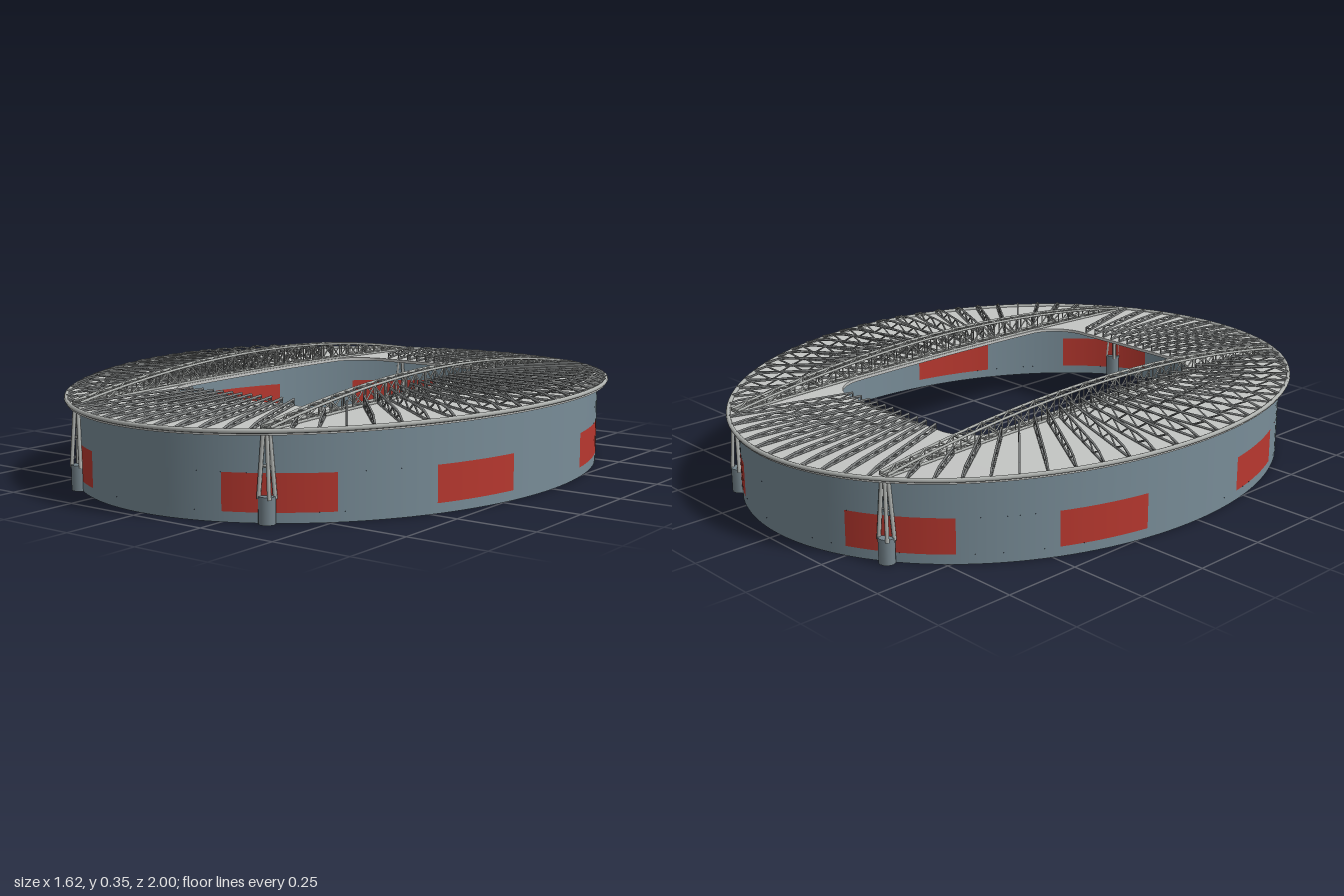
import * as THREE from 'three';
import { mergeGeometries, toCreasedNormals } from 'three/addons/utils/BufferGeometryUtils.js';

const WALL_X = 0.775, WALL_Z = 0.965;   // facade ellipse
const ROOF_X = 0.803, ROOF_Z = 0.993;   // roof ellipse
const HOLE_X = 0.345, HOLE_Z = 0.525, HOLE_R = 0.13;
const TRUSS_X = 0.365, TRUSS_Z = 0.86;
const rad = THREE.MathUtils.degToRad;
const V = (x, y, z) => new THREE.Vector3(x, y, z);
const UP = V(0, 1, 0);

// The roof sags gently towards both ends
const roofY = z => 0.274 - 0.02 * (z / ROOF_Z) ** 2;

const mat = (name, color, opts = {}) => {
  const m = new THREE.MeshStandardMaterial({ color, ...opts });
  m.name = name;
  return m;
};

// Straight round or square member between two points
function bar(a, b, r, sides = 4) {
  const d = b.clone().sub(a);
  const g = new THREE.CylinderGeometry(r, r, d.length(), sides);
  g.applyQuaternion(new THREE.Quaternion().setFromUnitVectors(UP, d.normalize()));
  const c = a.clone().add(b).multiplyScalar(0.5);
  return g.translate(c.x, c.y, c.z);
}

// Strip of the elliptical facade; the top may follow the roof
function wallStrip(t0, t1, y0, y1) {
  const n = Math.max(2, Math.ceil((t1 - t0) / 2.5)), pos = [], nor = [], idx = [];
  for (let i = 0; i <= n; i++) {
    const t = rad(t0 + (t1 - t0) * i / n);
    const x = WALL_X * Math.sin(t), z = WALL_Z * Math.cos(t);
    const nv = V(Math.sin(t) / WALL_X, 0, Math.cos(t) / WALL_Z).normalize();
    pos.push(x, y0, z, x, y1 ?? roofY(z) - 0.008, z);
    nor.push(...nv, ...nv);
    if (i < n) { const a = 2 * i; idx.push(a, a + 2, a + 1, a + 1, a + 2, a + 3); }
  }
  const g = new THREE.BufferGeometry();
  g.setAttribute('position', new THREE.Float32BufferAttribute(pos, 3));
  g.setAttribute('normal', new THREE.Float32BufferAttribute(nor, 3));
  g.setIndex(idx);
  return g;
}

// Distance along a direction from the centre to the rounded opening
function holeDistance(dx, dz) {
  let lo = 0, hi = 1;
  for (let i = 0; i < 30; i++) {
    const m = (lo + hi) / 2;
    const qx = Math.abs(dx * m) - HOLE_X + HOLE_R, qz = Math.abs(dz * m) - HOLE_Z + HOLE_R;
    const d = Math.hypot(Math.max(qx, 0), Math.max(qz, 0)) + Math.min(Math.max(qx, qz), 0) - HOLE_R;
    if (d < 0) lo = m; else hi = m;
  }
  return lo;
}

// Thin curved roof plate, lofted from the opening to the outer ellipse
function roofGeometry() {
  const N = 180, M = 6, P = 2 * (M + 1), pos = [], idx = [];
  for (let i = 0; i < N; i++) {
    const t = i / N * Math.PI * 2;
    const ox = ROOF_X * Math.sin(t), oz = ROOF_Z * Math.cos(t), len = Math.hypot(ox, oz);
    const k = holeDistance(ox / len, oz / len) / len;
    for (let j = 0; j < P; j++) {
      const top = j <= M, s = (top ? j : P - 1 - j) / M, f = k + (1 - k) * s;
      pos.push(ox * f, roofY(oz * f) - (top ? 0 : 0.01), oz * f);
      const a = i * P + j, b = i * P + (j + 1) % P;
      const c = ((i + 1) % N) * P + j, d = ((i + 1) % N) * P + (j + 1) % P;
      idx.push(a, b, c, c, b, d);
    }
  }
  const g = new THREE.BufferGeometry();
  g.setAttribute('position', new THREE.Float32BufferAttribute(pos, 3));
  g.setIndex(idx);
  return toCreasedNormals(g, 0.6);
}

// Flat lattice rib lying on the roof from the rim (a) to its inner end (b)
function rib(a, b, height) {
  const n = Math.max(3, Math.round(a.distanceTo(b) / 0.045)), parts = [];
  const low = [], high = [];
  for (let i = 0; i <= n; i++) {
    const s = i / n, p = a.clone().lerp(b, s);
    const h = height * (s < 0.15 ? 0.15 + 0.55 * s / 0.15 : 0.7 + 0.3 * (s - 0.15) / 0.85);
    const y = roofY(p.z);
    low.push(V(p.x, y + 0.003, p.z));
    high.push(V(p.x, y + 0.003 + h, p.z));
  }
  for (let i = 0; i < n; i++) {
    parts.push(bar(low[i], low[i + 1], 0.004), bar(high[i], high[i + 1], 0.004));
    parts.push(i % 2 ? bar(high[i], low[i + 1], 0.003) : bar(low[i], high[i + 1], 0.003));
  }
  parts.push(bar(low[n], high[n], 0.003));
  return parts;
}

// Arched box truss along z
function mainTruss() {
  const n = 32, w = 0.016, parts = [];
  const at = (i, sx, top) => {
    const z = -TRUSS_Z + 2 * TRUSS_Z * i / n;
    const y = top ? 0.268 + 0.073 * (1 - (z / TRUSS_Z) ** 2) : roofY(z) + 0.003;
    return V(sx * w, y, z);
  };
  for (let i = 0; i <= n; i++) {
    for (const top of [false, true]) parts.push(bar(at(i, -1, top), at(i, 1, top), 0.003));
    for (const s of [-1, 1]) {
      parts.push(bar(at(i, s, false), at(i, s, true), 0.003));
      if (i === n) continue;
      for (const top of [false, true]) parts.push(bar(at(i, s, top), at(i + 1, s, top), 0.0045, 6));
      parts.push(bar(at(i, s, i % 2 === 1), at(i + 1, s, i % 2 === 0), 0.003));
    }
    if (i < n) for (const top of [false, true]) {
      const s = i % 2 ? 1 : -1;
      parts.push(bar(at(i, s, top), at(i + 1, -s, top), 0.003));
    }
  }
  return mergeGeometries(parts);
}

export function createModel() {
  const model = new THREE.Group();
  model.name = 'stadium';
  const wallMat = mat('blueGreyWall', 0x788c97, { side: THREE.DoubleSide });
  const redMat = mat('redPanel', 0xb8382f, { side: THREE.DoubleSide });
  const roofMat = mat('lightGreyRoof', 0xc4c6c4);
  const steelMat = mat('paleSteel', 0xb0b3b0);
  const ribMat = mat('darkSteel', 0x868989);
  const baseMat = mat('footingGrey', 0x75848c);
  const add = (name, geo, material, parent = model) => {
    const m = new THREE.Mesh(geo, material);
    m.name = name;
    parent.add(m);
    return m;
  };

  // Facade with eight red panels, mirrored in all quadrants
  const quarter = [[18.8, 41.1], [60.2, 77.7]];
  const panels = [...quarter, ...quarter.map(([a, b]) => [180 - b, 180 - a])];
  panels.push(...panels.map(([a, b]) => [360 - b, 360 - a]));
  panels.sort((p, q) => p[0] - q[0]);
  const blue = [wallStrip(0, 360, 0, 0.03), wallStrip(0, 360, 0.14)];
  panels.forEach(([, end], i) => {
    blue.push(wallStrip(end, i < 7 ? panels[i + 1][0] : 360 + panels[0][0], 0.03, 0.14));
  });
  add('facadeWall', mergeGeometries(blue), wallMat);
  add('redPanels', mergeGeometries(panels.map(([a, b]) => wallStrip(a, b, 0.03, 0.14))), redMat);

  // Roof plate and rim tube
  add('roof', roofGeometry(), roofMat);
  const rimPoints = Array.from({ length: 72 }, (_, i) => {
    const t = rad(i * 5), z = ROOF_Z * Math.cos(t);
    return V(ROOF_X * Math.sin(t), roofY(z) + 0.002, z);
  });
  const rimCurve = new THREE.CatmullRomCurve3(rimPoints, true);
  add('roofRim', new THREE.TubeGeometry(rimCurve, 180, 0.007, 8, true), steelMat);

  // Radial ribs: side stands end at the trusses, end stands at the opening
  const ribs = [];
  const rim = t => V(ROOF_X * Math.sin(rad(t)), 0, ROOF_Z * Math.cos(rad(t)));
  for (const turn of [0, 180]) {
    for (let t = 32.5; t < 150; t += 5) {
      const a = rim(t + turn), b = a.clone().multiplyScalar(0.388 / Math.abs(a.x));
      ribs.push(...rib(a, b, 0.008 + 0.03 * (1 - (b.z / TRUSS_Z) ** 2)));
    }
    for (let t = -25; t <= 25; t += 5) {
      const a = rim(t + turn), b = a.clone().multiplyScalar(0.53 / Math.abs(a.z));
      ribs.push(...rib(a, b, 0.016));
    }
  }
  add('roofRibs', mergeGeometries(ribs), ribMat);

  // Arched trusses and their four corner supports
  const trussGeo = mainTruss();
  const footGeo = new THREE.CylinderGeometry(0.025, 0.025, 0.078, 12).translate(0, 0.039, 0);
  const struts = [];
  for (const sx of [-1, 1]) for (const sz of [-1, 1])
    struts.push(bar(V(sx * 0.019, 0.07, sz * 0.013), V(sx * 0.007, 0.25, sz * 0.006), 0.006, 8));
  struts.push(bar(V(-0.012, 0.16, 0), V(0.012, 0.16, 0), 0.004));
  const strutGeo = mergeGeometries(struts);
  for (const sx of [-1, 1]) {
    add(sx > 0 ? 'leftTruss' : 'rightTruss', trussGeo, steelMat).position.x = sx * TRUSS_X;
    for (const sz of [-1, 1]) {
      const support = new THREE.Group();
      support.name = (sz > 0 ? 'front' : 'back') + (sx > 0 ? 'Left' : 'Right') + 'Support';
      support.position.set(sx * TRUSS_X, 0, sz * 0.857);
      add('footing', footGeo, baseMat, support);
      add('struts', strutGeo, steelMat, support);
      model.add(support);
    }
  }
  return model;
}
